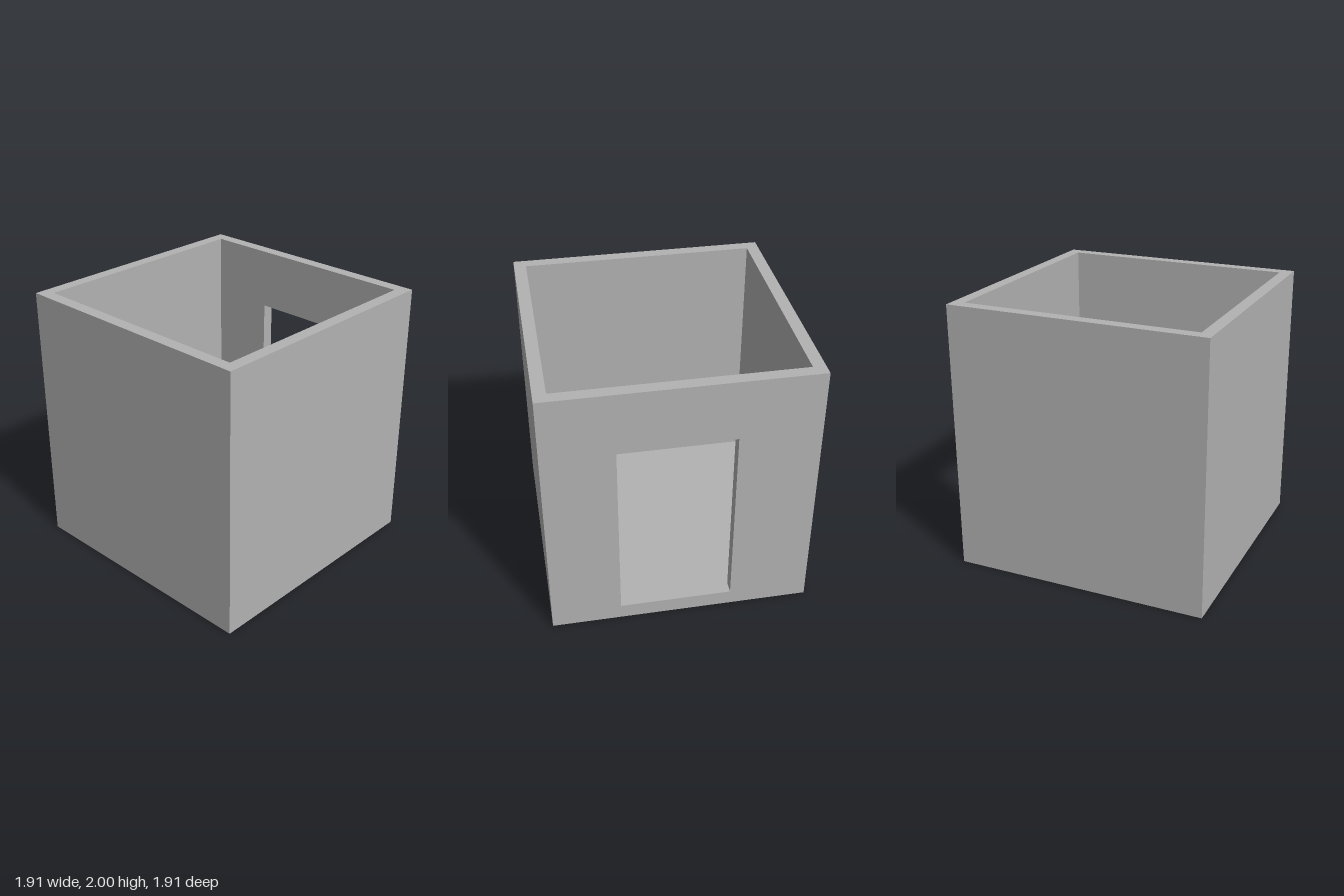
import * as THREE from 'three';

const HALF = 0.955;   // outer half width
const INNER = 0.865;  // inner half width
const FLOOR = 0.09;   // slab thickness
const TOP = 2;

function polygon(points) {
  return new THREE.Shape(points.map(([x, y]) => new THREE.Vector2(x, y)));
}

export function createModel() {
  const room = new THREE.Group();
  room.name = 'room';
  const concrete = new THREE.MeshStandardMaterial({ color: 0xb2b2b2 });
  concrete.name = 'concrete grey';

  const add = (name, geometry) => {
    const mesh = new THREE.Mesh(geometry, concrete);
    mesh.name = name;
    room.add(mesh);
    return mesh;
  };

  // Floor slab under the whole room
  add('floorSlab', new THREE.BoxGeometry(2 * HALF, FLOOR, 2 * HALF)).position.y = FLOOR / 2;

  // Front and both side walls: one U-shaped plan, open at the back
  const plan = polygon([
    [-HALF, HALF], [-HALF, -HALF], [HALF, -HALF], [HALF, HALF],
    [INNER, HALF], [INNER, -INNER], [-INNER, -INNER], [-INNER, HALF],
  ]);
  const walls = new THREE.ExtrudeGeometry(plan, { depth: TOP - FLOOR, bevelEnabled: false });
  walls.rotateX(-Math.PI / 2);
  add('frontAndSideWalls', walls).position.y = FLOOR;

  // Back wall with an off-centre doorway above a low sill
  const back = polygon([[-INNER, FLOOR], [INNER, FLOOR], [INNER, TOP], [-INNER, TOP]]);
  back.holes.push(polygon([[-0.375, 0.115], [-0.375, 1.545], [0.447, 1.545], [0.447, 0.115]]));
  const backWall = new THREE.ExtrudeGeometry(back, { depth: HALF - INNER, bevelEnabled: false });
  add('backWallWithDoorway', backWall).position.z = -HALF;

  return room;
}
